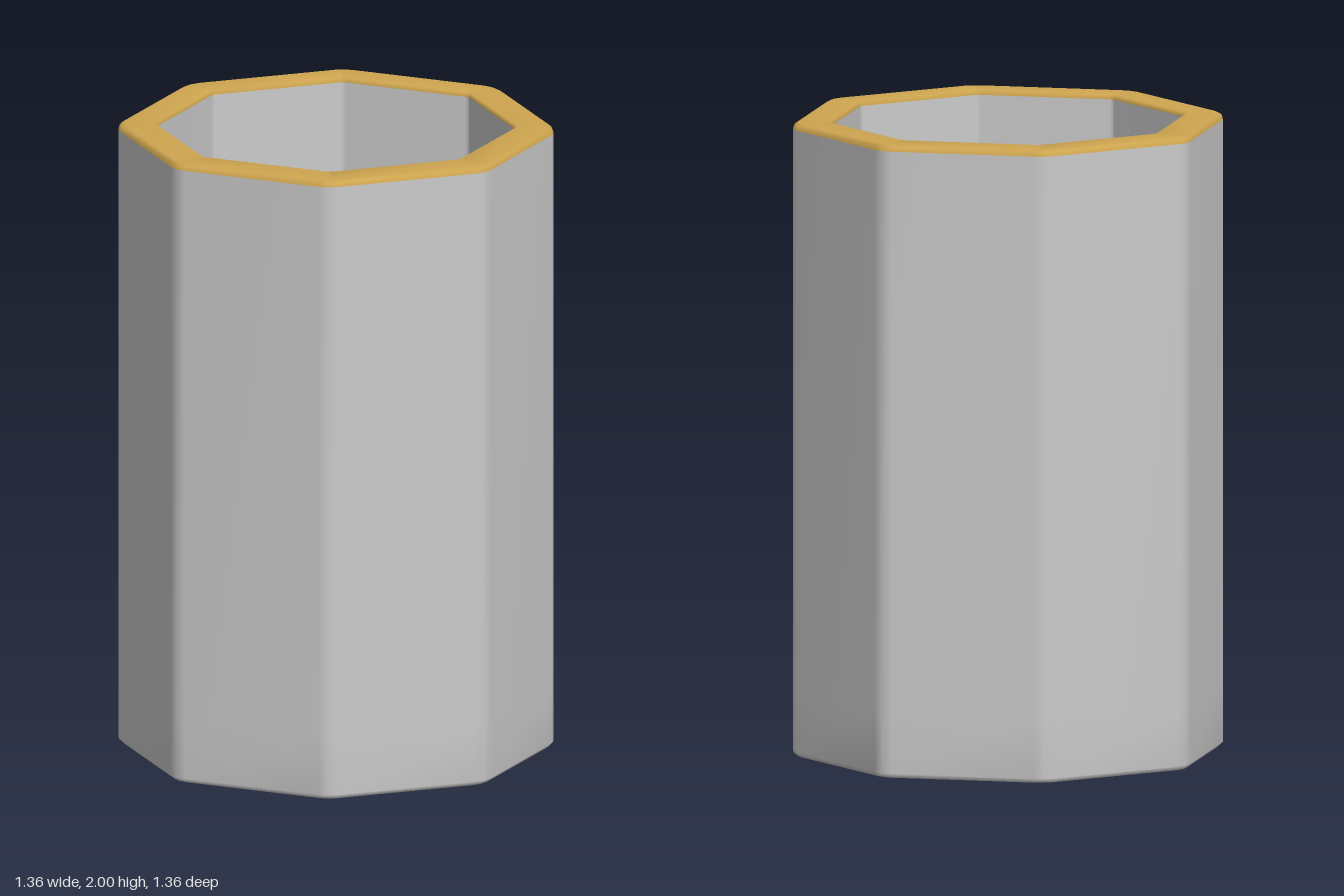
import * as THREE from 'three';

const SIDES = 8;

// Octagon with softened corners: three points per corner, c is the softening length
function ring(radius, y, c) {
  const pts = [];
  const corner = (k) => {
    const a = (k / SIDES) * Math.PI * 2;
    return new THREE.Vector3(Math.sin(a) * radius, y, Math.cos(a) * radius);
  };
  for (let k = 0; k < SIDES; k++) {
    const p = corner(k);
    const towards = (q) => p.clone().add(q.sub(p).setLength(c));
    const before = towards(corner(k - 1));
    const after = towards(corner(k + 1));
    const mid = before.clone().add(after).multiplyScalar(0.5).lerp(p, 0.4);
    pts.push(before, mid, after);
  }
  return pts;
}

// Joins consecutive rings [radius, height, softening] into a smooth skin
function loft(profile) {
  const n = SIDES * 3;
  const pos = [];
  const index = [];
  for (const [r, y, c] of profile) {
    const pts = r > 0 ? ring(r, y, c) : Array(n).fill(new THREE.Vector3(0, y, 0));
    for (const p of pts) pos.push(p.x, p.y, p.z);
  }
  for (let j = 0; j < profile.length - 1; j++) {
    for (let i = 0; i < n; i++) {
      const a = j * n + i;
      const b = j * n + ((i + 1) % n);
      if (profile[j][0] > 0) index.push(a, b, b + n);
      if (profile[j + 1][0] > 0) index.push(a, b + n, a + n);
    }
  }
  const geo = new THREE.BufferGeometry();
  geo.setAttribute('position', new THREE.Float32BufferAttribute(pos, 3));
  geo.setIndex(index);
  geo.computeVertexNormals();
  return geo;
}

export function createModel() {
  const model = new THREE.Group();
  model.name = 'octagonalCup';
  const grey = new THREE.MeshStandardMaterial({ color: 0xcccccc });
  const gold = new THREE.MeshStandardMaterial({ color: 0xcfa650 });

  const add = (name, profile, material) => {
    const mesh = new THREE.Mesh(loft(profile), material);
    mesh.name = name;
    model.add(mesh);
  };

  // Underside and outer wall
  add('outerWall', [
    [0, 0, 0],
    [0.672, 0, 0.03],
    [0.688, 0.015, 0.035],
    [0.688, 0.2, 0.035],
    [0.688, 1.98, 0.035],
  ], grey);

  // Gilded lip
  add('rim', [
    [0.688, 1.98, 0.035],
    [0.683, 1.994, 0.033],
    [0.67, 2, 0.03],
    [0.568, 2, 0.01],
    [0.565, 1.985, 0.01],
  ], gold);

  // Inner wall and floor
  add('innerWall', [
    [0.565, 1.985, 0.01],
    [0.565, 0.13, 0.01],
    [0.55, 0.115, 0.01],
    [0, 0.115, 0],
  ], grey);

  return model;
}
